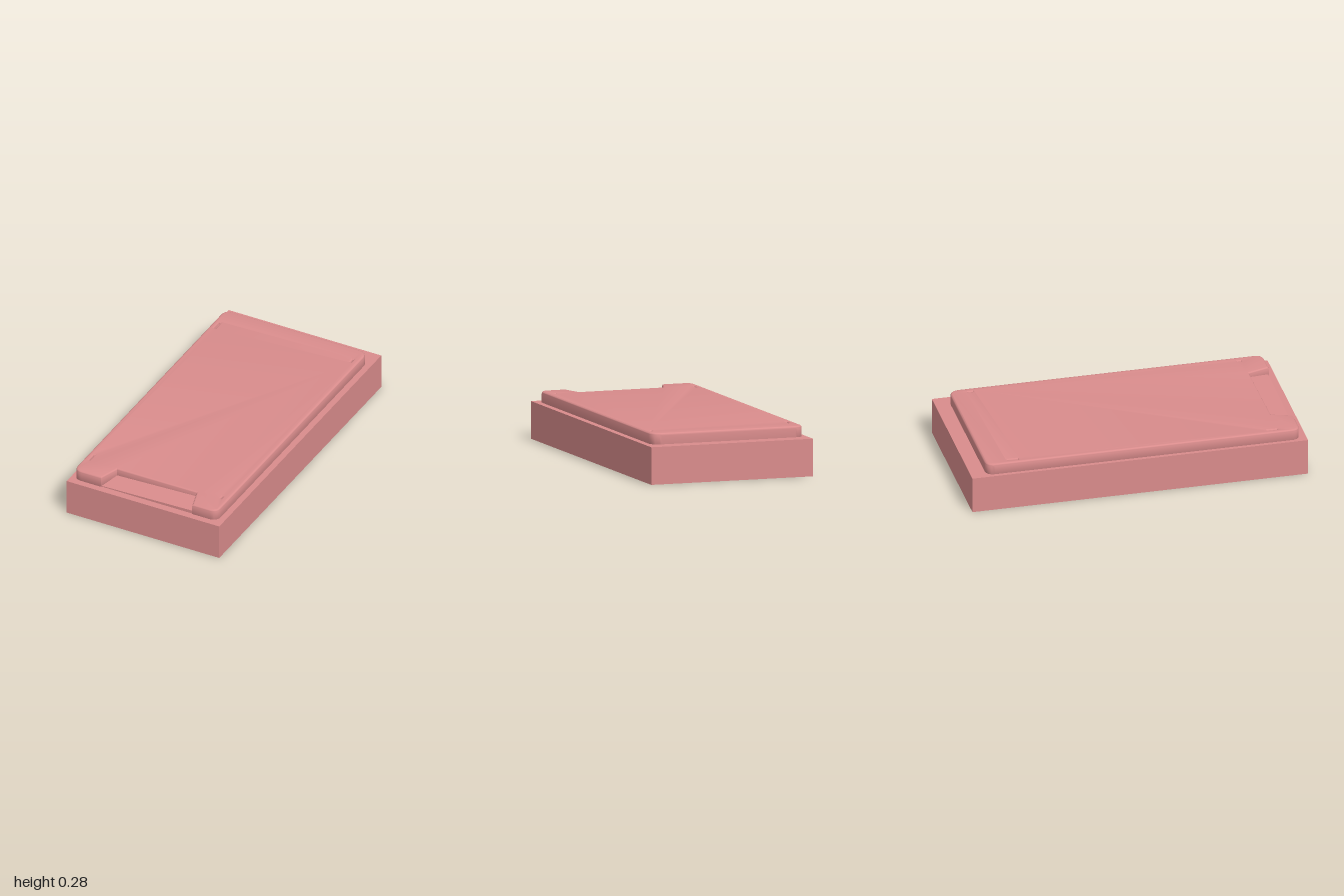
import * as THREE from 'three';
import { toCreasedNormals } from 'three/addons/utils/BufferGeometryUtils.js';

const material = new THREE.MeshStandardMaterial({ color: 0xd98c8c });
const BASE_TOP = 0.22, TOP = 0.285, BEVEL = 0.014;

function addMesh(group, name, geometry) {
  const mesh = new THREE.Mesh(geometry, material);
  mesh.name = name;
  group.add(mesh);
  return mesh;
}

// Plan of the raised slab; shape y is -z
function slabShape() {
  const l = -0.475, r = 0.46, back = 0.908, front = -0.957, c = 0.05;
  const s = new THREE.Shape();
  s.moveTo(l + c, front);
  s.lineTo(-0.297, front);
  s.lineTo(-0.257, -0.835);
  s.lineTo(0.263, -0.83);
  s.lineTo(0.302, front);
  s.lineTo(r - c, front);
  s.quadraticCurveTo(r, front, r, front + c);
  s.lineTo(r, back - c * 1.2);
  s.quadraticCurveTo(r, back, r - c * 1.2, back);
  s.lineTo(l + c, back);
  s.quadraticCurveTo(l, back, l, back - c);
  s.lineTo(l, front + c);
  s.quadraticCurveTo(l, front, l + c, front);

  // Small dimples near the four corners: x, z, width, length
  const dimples = [
    [-0.441, -0.745, 0.012, 0.065], [0.419, -0.79, 0.008, 0.03],
    [-0.443, 0.80, 0.006, 0.06], [0.416, 0.81, 0.006, 0.025],
  ];
  for (const [x, z, w, d] of dimples) {
    const h = new THREE.Path();
    h.moveTo(x - w / 2, -z - d / 2);
    h.lineTo(x - w / 2, -z + d / 2);
    h.lineTo(x + w / 2, -z + d / 2);
    h.lineTo(x + w / 2, -z - d / 2);
    h.closePath();
    s.holes.push(h);
  }
  return s;
}

export function createModel() {
  const group = new THREE.Group();
  group.name = 'slabOnBlock';

  // Plain rectangular block
  addMesh(group, 'baseBlock', new THREE.BoxGeometry(1, BASE_TOP, 2)).position.y = BASE_TOP / 2;

  // Raised slab with rounded rim; its lower bevel is sunk in the block
  const bottom = BASE_TOP - BEVEL;
  const slab = new THREE.ExtrudeGeometry(slabShape(), {
    depth: TOP - bottom - 2 * BEVEL, curveSegments: 8,
    bevelThickness: BEVEL, bevelSize: BEVEL * 0.8, bevelSegments: 4,
  bevelOffset: -BEVEL * 0.8 + BEVEL * 0.8 * 0.2,
  });
  slab.rotateX(-Math.PI / 2);
  slab.translate(0, bottom + BEVEL, 0);
  addMesh(group, 'raisedSlab', toCreasedNormals(slab, 0.6));

  // Core that closes the dimples just below the top
  const core = addMesh(group, 'dimpleFloor', new THREE.BoxGeometry(0.89, 0.06, 1.66));
  core.position.set(-0.008, 0.243, -0.04);

  // Sloping, slightly tilted floor of the front notch
  const floor = new THREE.BoxGeometry(1, 1, 1).toNonIndexed();
  const p = floor.attributes.position;
  for (let i = 0; i < p.count; i++) {
    const right = p.getX(i) > 0, front = p.getZ(i) > 0, top = p.getY(i) > 0;
    const x = front ? (right ? 0.305 : -0.3) : (right ? 0.27 : -0.262);
    const y = top ? 0.225 + (right ? 0.015 : 0) + (front ? 0 : 0.018) : 0.21;
    p.setXYZ(i, x, y, front ? 0.955 : 0.815);
  }
  floor.computeVertexNormals();
  addMesh(group, 'notchFloor', floor);

  return group;
}
